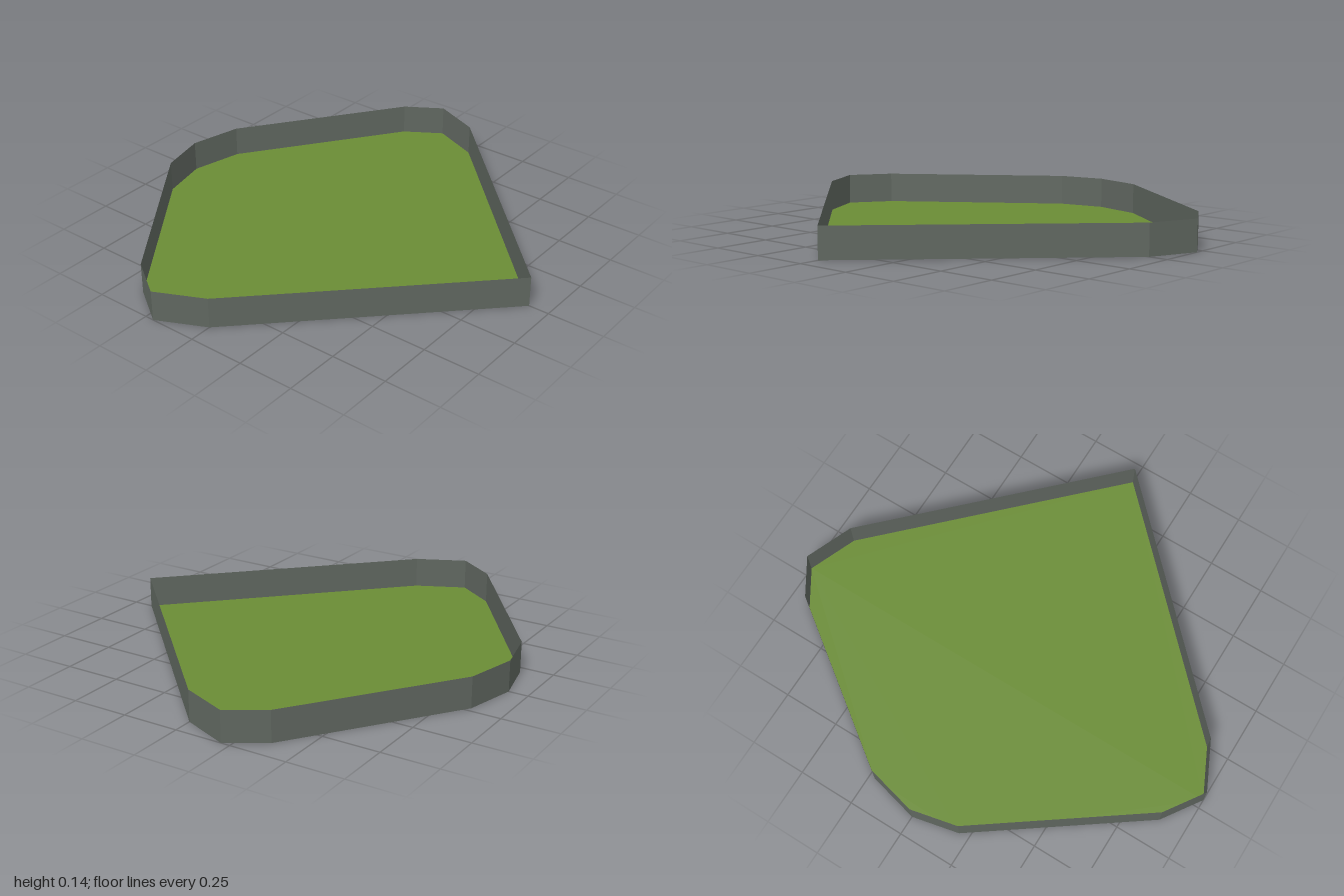
import * as THREE from 'three';

// Tray outline as [x, z], starting at the pointed front corner
const OUTLINE = [
  [0, 0.91], [0.915, 0], [1, -0.21], [0.9, -0.37], [0.225, -0.86],
  [0, -0.915], [-0.205, -0.87], [-0.885, -0.38], [-1, -0.21], [-0.9, 0],
];
const HEIGHT = 0.136;

function flatMaterial(name, color) {
  const material = new THREE.MeshStandardMaterial({ color, side: THREE.DoubleSide, flatShading: true });
  material.name = name;
  return material;
}

// Open band of upright quads following the outline
function wallGeometry() {
  const positions = [];
  OUTLINE.forEach(([ax, az], i) => {
    const [bx, bz] = OUTLINE[(i + 1) % OUTLINE.length];
    positions.push(ax, 0, az, bx, 0, bz, bx, HEIGHT, bz);
    positions.push(ax, 0, az, bx, HEIGHT, bz, ax, HEIGHT, az);
  });
  const geometry = new THREE.BufferGeometry();
  geometry.setAttribute('position', new THREE.Float32BufferAttribute(positions, 3));
  geometry.computeVertexNormals();
  return geometry;
}

export function createModel() {
  const group = new THREE.Group();
  group.name = 'tray';

  // Flat green floor at the base
  const shape = new THREE.Shape(OUTLINE.map(([x, z]) => new THREE.Vector2(x, -z)));
  const floor = new THREE.Mesh(
    new THREE.ShapeGeometry(shape).rotateX(-Math.PI / 2),
    flatMaterial('grass green', 0x6a8c35),
  );
  floor.name = 'floor';

  // Thin grey rim standing around the floor
  const rim = new THREE.Mesh(wallGeometry(), flatMaterial('stone grey', 0x5f665f));
  rim.name = 'rimWall';

  group.add(floor, rim);
  return group;
}
